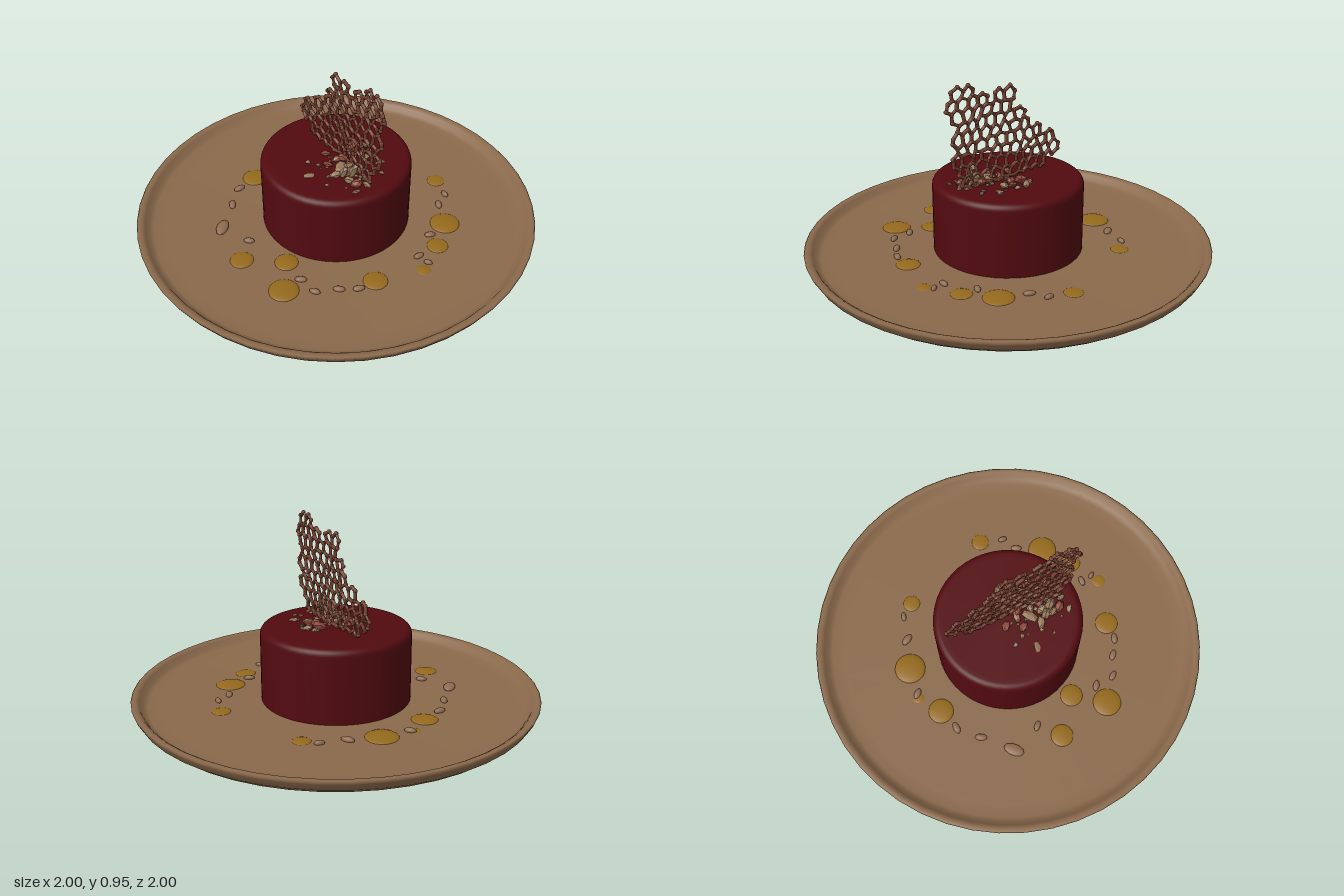
import * as THREE from 'three';
import { mergeGeometries } from 'three/addons/utils/BufferGeometryUtils.js';

const mat = (name, color) => {
  const m = new THREE.MeshStandardMaterial({ color });
  m.name = name;
  return m;
};
const mats = {
  plate: mat('brown stoneware', 0x8a694b),
  glaze: mat('dark red glaze', 0x520a0f),
  lace: mat('baked lace', 0x74402f),
  sauce: mat('amber sauce', 0x94691c),
  nut: mat('pale nut', 0x96785a),
  berry: mat('dried berry', 0x8e4a3c),
  crumb: mat('plate crumb', 0x8f6c52),
};

let seed = 7;
const rnd = () => (seed = (seed * 16807) % 2147483647) / 2147483647;
const spread = (a) => (rnd() * 2 - 1) * a;
const V = (x, y) => new THREE.Vector2(x, y);

function add(parent, name, geo, material) {
  const m = new THREE.Mesh(geo, material);
  m.name = name;
  parent.add(m);
  return m;
}

function lathe(points, segments) {
  return new THREE.LatheGeometry(points.map(([x, y]) => V(x, y)), segments);
}

// Irregular faceted chunk
function chunk(x, y, z, sx, sy, sz, tilt = 0.4) {
  const g = new THREE.IcosahedronGeometry(1, 0);
  g.scale(sx, sy, sz);
  g.rotateX(spread(tilt));
  g.rotateZ(spread(tilt));
  g.rotateY(rnd() * 6.28);
  g.translate(x, y, z);
  return g;
}

// Honeycomb lace: jittered cells inside an outline, drawn as round struts
function laceGeometry() {
  const outline = [
    [-0.04, 0.94], [0.02, 0.92], [0.1, 0.87], [0.19, 0.89], [0.22, 0.935], [0.29, 0.935],
    [0.37, 0.86], [0.36, 0.77], [0.32, 0.72], [0.33, 0.55], [0.29, 0.5], [0.26, 0.42],
    [0, 0.42], [-0.1, 0.44], [-0.2, 0.44], [-0.29, 0.5], [-0.29, 0.57],
    [-0.2, 0.64], [-0.1, 0.73], [-0.03, 0.79],
  ].map(([x, y]) => [x * 1.055, y]);
  const inside = (x, y) => {
    let hit = false;
    outline.forEach(([ax, ay], i) => {
      const [bx, by] = outline[(i + 1) % outline.length];
      if ((ay > y) !== (by > y) && x < ax + ((y - ay) / (by - ay)) * (bx - ax)) hit = !hit;
    });
    return hit;
  };
  const w = 0.056, R = 0.036, nodes = new Map(), edges = new Map();
  const corner = (x, y) => {
    const key = `${Math.round(x * 500)},${Math.round(y * 500)}`;
    if (!nodes.has(key)) {
      nodes.set(key, new THREE.Vector3(x + spread(0.008), y + spread(0.008),
        0.006 * Math.sin(x * 14 + y * 9) + spread(0.003)));
    }
    return key;
  };
  for (let row = 0; row < 11; row++) {
    for (let col = -7; col < 8; col++) {
      const cx = (col + (row % 2) / 2) * w, cy = 0.42 + row * R * 1.5;
      const m = 0.022;
      if (![[m, 0], [-m, 0], [0, m], [0, -m]].every(([dx, dy]) => inside(cx + dx, cy + dy))) continue;
      const ring = [[0, R], [w / 2, R / 2], [w / 2, -R / 2], [0, -R], [-w / 2, -R / 2], [-w / 2, R / 2]]
        .map(([dx, dy]) => corner(cx + dx, cy + dy));
      ring.forEach((a, i) => {
        const b = ring[(i + 1) % 6];
        edges.set([a, b].sort().join('|'), [a, b]);
      });
    }
  }
  const parts = [], up = new THREE.Vector3(0, 1, 0);
  for (const [a, b] of edges.values()) {
    const p = nodes.get(a), q = nodes.get(b), d = q.clone().sub(p);
    const r = 0.0085 + spread(0.0015);
    const g = new THREE.CylinderGeometry(r, r, d.length(), 6, 1, true);
    g.applyQuaternion(new THREE.Quaternion().setFromUnitVectors(up, d.clone().normalize()));
    const c = p.clone().add(q).multiplyScalar(0.5);
    parts.push(g.translate(c.x, c.y, c.z));
  }
  for (const p of nodes.values()) {
    parts.push(new THREE.SphereGeometry(0.0115, 7, 5).translate(p.x, p.y, p.z));
  }
  return mergeGeometries(parts);
}

export function createModel() {
  const root = new THREE.Group();
  root.name = 'platedDessert';
  seed = 7;

  // Plate with a low foot and raised rim
  add(root, 'plate', lathe([
    [0, 0], [0.425, 0], [0.43, 0.002], [0.435, 0.008], [0.7, 0.018], [0.88, 0.028], [0.94, 0.04],
    [0.975, 0.066], [0.995, 0.1], [1, 0.112], [0.994, 0.118], [0.975, 0.117], [0.96, 0.108],
    [0.945, 0.086], [0.92, 0.076], [0.85, 0.073], [0, 0.07],
  ], 48), mats.plate);

  // Glazed cake with a rounded top edge
  const cake = [[0.37, 0.06], [0.37, 0.1], [0.37, 0.38]];
  for (let i = 0; i <= 6; i++) {
    const a = (i / 6) * Math.PI / 2;
    cake.push([0.338 + 0.032 * Math.cos(a), 0.404 + 0.032 * Math.sin(a)]);
  }
  cake.push([0.32, 0.436], [0, 0.436]);
  add(root, 'cake', lathe(cake, 48), mats.glaze);

  // Upright lace tuile
  const lace = add(root, 'laceTuile', laceGeometry(), mats.lace);
  lace.rotation.y = -0.325;
  lace.position.z = -0.012;

  // Nut shards and berry pieces around the tuile
  const top = 0.436;
  const nuts = [
    [0.08, 0.07, 0.045, 0.014], [0.15, 0.09, 0.04, 0.03], [0.1, 0.13, 0.035, 0.015],
    [0.18, 0.13, 0.03, 0.02], [0.03, 0.03, 0.03, 0.014], [0.06, -0.14, 0.03, 0.012],
    [0.13, -0.06, 0.03, 0.014], [0.2, -0.08, 0.025, 0.008], [0.26, 0.1, 0.025, 0.012],
    [0.0, 0.21, 0.03, 0.005], [0.25, 0.17, 0.025, 0.009], [0.11, 0.04, 0.03, 0.02],
  ].map(([x, z, s, h]) => chunk(x, top + h * 0.6, z, s, h, s * 0.6));
  for (let i = 0; i < 45; i++) {
    const a = rnd() * 6.28, r = 0.05 + rnd() * 0.16, s = 0.005 + rnd() * 0.008;
    nuts.push(chunk(0.09 + r * Math.cos(a) * 0.9, top + s * 0.3, 0.03 + r * Math.sin(a), s * 1.4, s * 0.6, s));
  }
  // Leaning shards
  for (const [x, z, h] of [[0.18, 0.1, 0.055], [0.14, 0.12, 0.04]]) {
    const g = new THREE.IcosahedronGeometry(1, 0);
    g.scale(0.02, h, 0.024);
    g.rotateZ(-0.4);
    nuts.push(g.translate(x, top + h * 0.85, z));
  }
  add(root, 'nutPieces', mergeGeometries(nuts), mats.nut);
  add(root, 'berryPieces', mergeGeometries([
    [0.03, -0.09, 0.045, 0.022], [0.07, -0.06, 0.03, 0.02], [0.1, -0.09, 0.03, 0.014],
    [-0.04, 0.03, 0.03, 0.012], [0.22, 0.13, 0.032, 0.02], [0.16, 0.05, 0.03, 0.018],
    [0.02, 0.09, 0.03, 0.012], [0.05, 0.01, 0.03, 0.02],
  ].map(([x, z, s, h]) => chunk(x, top + h * 0.6, z, s, h, s * 0.75))), mats.berry);

  // Sauce dots in a ring: x, z, radius
  const dots = [
    [-0.48, -0.23, 0.08], [-0.51, 0.05, 0.065], [-0.24, -0.5, 0.045], [0.27, -0.52, 0.047],
    [0.49, -0.26, 0.075], [0.55, -0.1, 0.053], [0.59, 0.08, 0.035], [0.45, 0.28, 0.06],
    [0.04, 0.44, 0.058], [0.15, 0.59, 0.073], [-0.14, 0.56, 0.058], [-0.55, -0.08, 0.03],
  ].map(([x, z, r]) => {
    const g = new THREE.SphereGeometry(r, 20, 8, 0, Math.PI * 2, 0, Math.PI / 2);
    return g.scale(1, 0.2, 1).translate(x, 0.07, z);
  });
  add(root, 'sauceDots', mergeGeometries(dots), mats.sauce);

  // Crumbs between the dots: x, z, length, turn
  const crumbs = [
    [-0.32, -0.47, 0.025, 1], [-0.39, -0.36, 0.035, 0.2], [-0.54, -0.1, 0.03, 0.4],
    [-0.51, 0.17, 0.032, 1.3], [-0.45, 0.29, 0.032, -0.8], [-0.37, 0.45, 0.055, -1.1],
    [-0.2, 0.44, 0.028, 0.5], [0.17, 0.49, 0.03, 0.6], [0.27, 0.51, 0.028, 0.3],
    [0.35, 0.43, 0.03, 0.5], [0.42, 0.37, 0.03, 0.9], [0.39, -0.36, 0.03, -0.8],
    [0.37, -0.45, 0.025, -0.4], [0.52, 0.02, 0.028, 1.2], [0.58, 0.03, 0.022, 0.3],
    [0.48, -0.14, 0.028, 0.8],
  ].map(([x, z, s, turn]) => {
    const g = new THREE.SphereGeometry(1, 10, 7);
    return g.scale(s, 0.014, s * 0.55).rotateY(turn).translate(x, 0.077, z);
  });
  add(root, 'plateCrumbs', mergeGeometries(crumbs), mats.crumb);

  return root;
}
